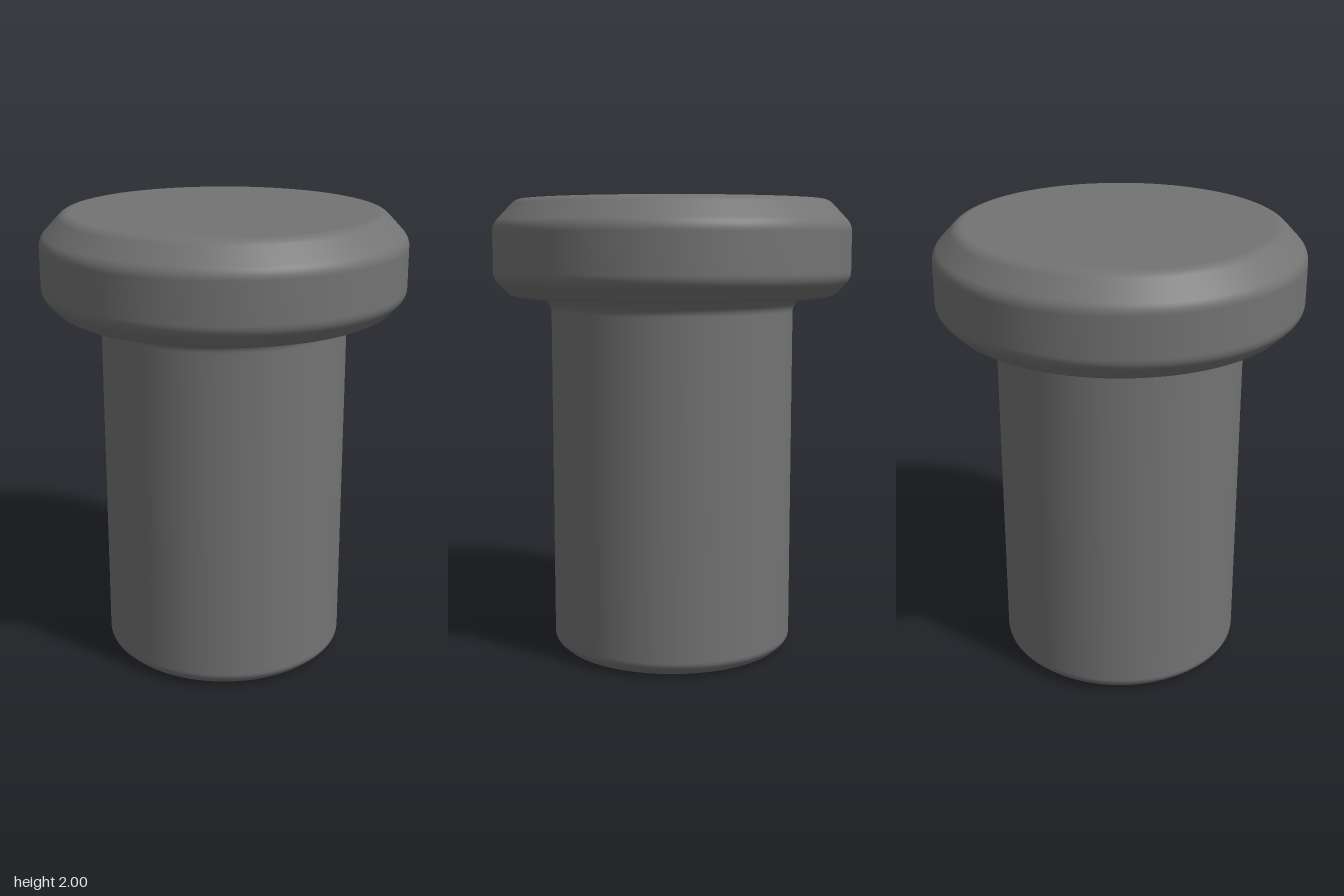
import * as THREE from 'three';

// Turn [radius, height, rounding] corners into a profile with softened corners.
function roundedProfile(corners) {
  const pts = corners.map(([x, y]) => new THREE.Vector2(x, y));
  const out = [pts[0]];
  for (let i = 1; i < pts.length - 1; i++) {
    const corner = pts[i], r = corners[i][2];
    const toward = (p) => corner.clone().add(p.clone().sub(corner).setLength(r));
    const curve = new THREE.QuadraticBezierCurve(toward(pts[i - 1]), corner, toward(pts[i + 1]));
    out.push(...curve.getPoints(5));
  }
  out.push(pts[pts.length - 1]);
  return out;
}

export function createModel() {
  const group = new THREE.Group();
  group.name = 'headedPin';
  const steel = new THREE.MeshStandardMaterial({ color: 0x737373 });
  steel.name = 'dark grey steel';

  const addTurned = (name, corners) => {
    const mesh = new THREE.Mesh(new THREE.LatheGeometry(roundedProfile(corners), 96), steel);
    mesh.name = name;
    group.add(mesh);
  };

  // Shaft with chamfered foot and a small flare under the head
  addTurned('shaft', [
    [0, 0, 0],
    [0.485, 0, 0.025],
    [0.533, 0.045, 0.02],
    [0.533, 1.535, 0.02],
    [0.575, 1.58, 0],
  ]);

  // Wide head, chamfered above and below
  addTurned('head', [
    [0.575, 1.58, 0],
    [0.708, 1.58, 0.03],
    [0.785, 1.66, 0.03],
    [0.785, 1.89, 0.03],
    [0.682, 2, 0.03],
    [0, 2, 0],
  ]);

  return group;
}
